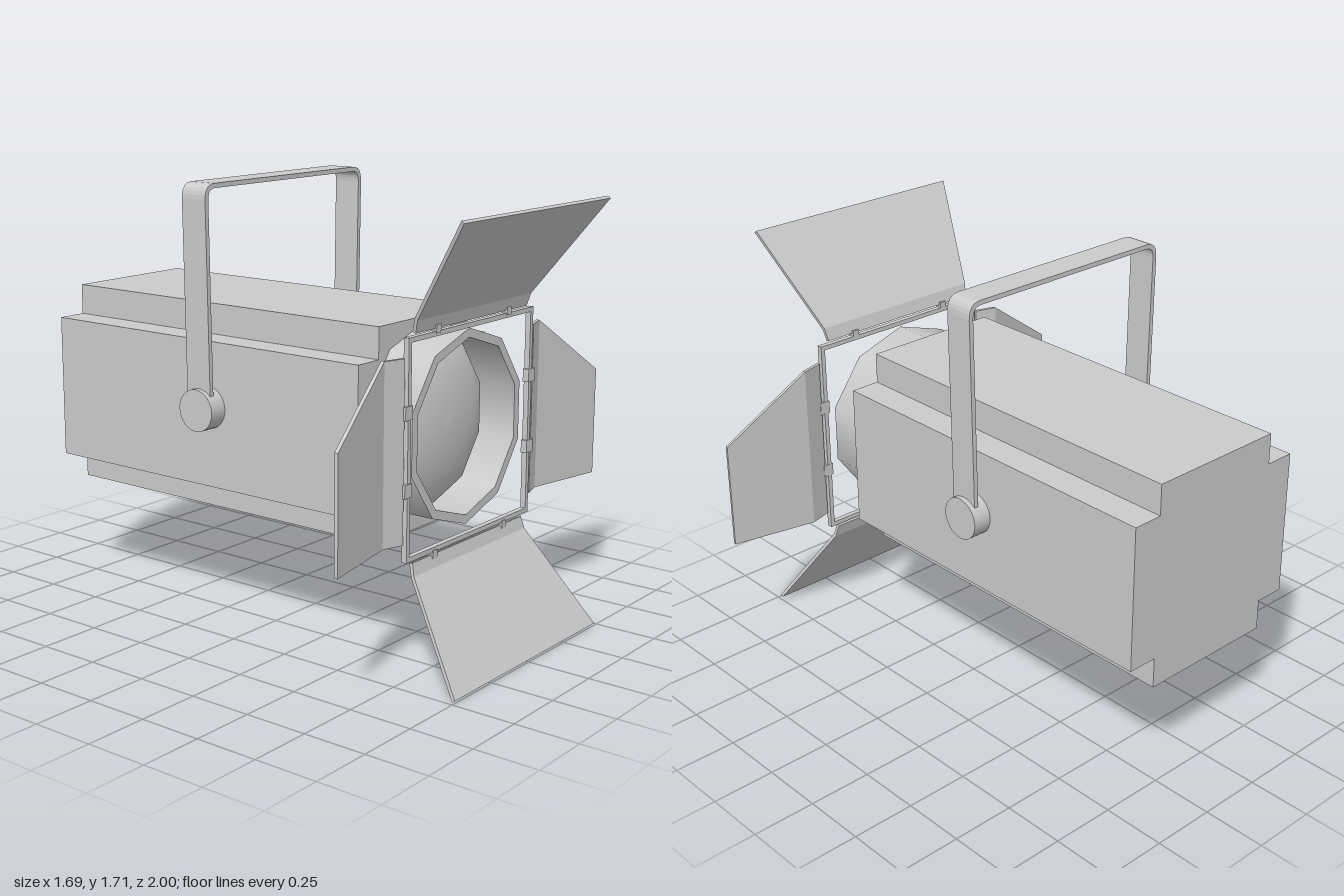
import * as THREE from 'three';

const CY = 0.835; // height of the optical axis
const mat = new THREE.MeshStandardMaterial({ color: 0xcccccc });
const flat = new THREE.MeshStandardMaterial({ color: 0xcccccc, flatShading: true });

function add(parent, name, geo, m = flat) {
  const mesh = new THREE.Mesh(geo, m);
  mesh.name = name;
  parent.add(mesh);
  return mesh;
}

function extrude(shape, z0, z1, curveSegments = 6) {
  const g = new THREE.ExtrudeGeometry(shape, { depth: z1 - z0, bevelEnabled: false, curveSegments });
  return g.translate(0, 0, z0);
}

const polygon = (pts) => new THREE.Shape(pts.map(([x, y]) => new THREE.Vector2(x, y)));
const square = (h) => [[-h, -h], [h, -h], [h, h], [-h, h]];

// Bent sheet lofted along +y; each row is [y, z, left x, right x]
function sheet(rows, t = 0.014) {
  const pos = [], idx = [], last = rows.length - 1;
  rows.forEach(([y, z, lo, hi], i) => {
    const a = rows[Math.max(i - 1, 0)], b = rows[Math.min(i + 1, last)];
    const n = new THREE.Vector2(a[1] - b[1], b[0] - a[0]).setLength(t / 2);
    for (const [x, s] of [[lo, 1], [hi, 1], [hi, -1], [lo, -1]]) pos.push(x, y + s * n.x, z + s * n.y);
  });
  for (let i = 0; i < last; i++) {
    for (let j = 0; j < 4; j++) {
      const a = i * 4 + j, b = i * 4 + (j + 1) % 4;
      idx.push(a, b, b + 4, a, b + 4, a + 4);
    }
  }
  const e = last * 4;
  idx.push(0, 3, 2, 0, 2, 1, e, e + 1, e + 2, e, e + 2, e + 3);
  const g = new THREE.BufferGeometry();
  g.setAttribute('position', new THREE.Float32BufferAttribute(pos, 3));
  g.setIndex(idx);
  const out = g.toNonIndexed();
  out.computeVertexNormals();
  return out;
}

// Door with its two hinges, built pointing up and turned about the optical axis
function barnDoor(name, angle, rows, hingeX, hinge) {
  const door = new THREE.Group();
  door.name = name;
  add(door, 'doorPanel', sheet(rows));
  for (const s of [-1, 1]) {
    const [w, y0, y1] = hinge;
    const h = new THREE.BoxGeometry(w, y1 - y0, 0.026);
    add(door, 'hinge', h.translate(s * hingeX, (y0 + y1) / 2, 0.722));
  }
  door.position.y = CY;
  door.rotation.z = angle;
  return door;
}

export function createModel() {
  const model = new THREE.Group();
  model.name = 'stageLight';

  // Housing: square with notched corners
  const o = 0.405, n = 0.285;
  const body = polygon([[-n, -o], [n, -o], [n, -n], [o, -n], [o, n], [n, n],
    [n, o], [-n, o], [-n, n], [-o, n], [-o, -n], [-n, -n]]);
  add(model, 'housing', extrude(body, -1, 0.515)).position.y = CY - 0.003;

  // Ten-sided lens barrel with a recessed domed lens
  const barrel = new THREE.Group();
  barrel.name = 'lensBarrel';
  const R = 0.37, r = 0.335, front = 0.712, seat = 0.53;
  const dome = [];
  for (let i = 0; i <= 8; i++) {
    const a = (i / 8) * Math.PI / 2;
    dome.push([r * Math.cos(a), seat + 0.11 * Math.sin(a)]);
  }
  dome[8][0] = 0;
  const profiles = {
    barrelOuter: [[R, 0.5], [R, front]],
    barrelRim: [[R, front], [r, front]],
    barrelInner: [[r, front], [r, seat]],
    lens: dome,
  };
  for (const [name, pts] of Object.entries(profiles)) {
    const g = new THREE.LatheGeometry(pts.map(([x, y]) => new THREE.Vector2(x, y)), 10);
    add(barrel, name, g.rotateX(Math.PI / 2), mat);
  }
  barrel.position.y = 0.845;
  model.add(barrel);

  // Square frame that carries the doors
  const frame = polygon(square(0.405));
  frame.holes.push(new THREE.Path(square(0.387).map(([x, y]) => new THREE.Vector2(x, y))));
  add(model, 'doorFrame', extrude(frame, 0.71, 0.732)).position.y = CY;

  // Top and bottom doors
  const wide = [[0.416, 0.722, -0.362, 0.362], [0.465, 0.735, -0.37, 0.37], [0.83, 0.994, -0.483, 0.483]];
  const wideHinge = [0.028, 0.398, 0.428];
  model.add(barnDoor('topDoor', 0, wide, 0.23, wideHinge));
  model.add(barnDoor('bottomDoor', Math.PI, wide, 0.23, wideHinge));

  // Side doors, cut away at their upper outer corners
  const side = [[0.418, 0.72, -0.335, 0.335], [0.505, 0.694, -0.335, 0.335], [0.846, 0.76, -0.095, 0.335]];
  const mirrored = side.map(([y, z, lo, hi]) => [y, z, -hi, -lo]);
  const sideHinge = [0.05, 0.38, 0.424];
  model.add(barnDoor('leftDoor', -Math.PI / 2, side, 0.14, sideHinge));
  model.add(barnDoor('rightDoor', Math.PI / 2, mirrored, 0.14, sideHinge));

  // Hanging yoke: flat strip with rounded upper corners
  const yoke = new THREE.Shape();
  yoke.moveTo(0.458, 0.83);
  yoke.lineTo(0.472, 1.655);
  yoke.quadraticCurveTo(0.472, 1.715, 0.42, 1.715);
  yoke.lineTo(-0.42, 1.715);
  yoke.quadraticCurveTo(-0.472, 1.715, -0.472, 1.655);
  yoke.lineTo(-0.458, 0.83);
  yoke.lineTo(-0.44, 0.83);
  yoke.lineTo(-0.454, 1.655);
  yoke.quadraticCurveTo(-0.454, 1.697, -0.418, 1.697);
  yoke.lineTo(0.418, 1.697);
  yoke.quadraticCurveTo(0.454, 1.697, 0.454, 1.655);
  yoke.lineTo(0.44, 0.83);
  add(model, 'yoke', extrude(yoke, -0.255, -0.14), mat);

  // Pivot knobs
  for (const s of [-1, 1]) {
    const knob = new THREE.CylinderGeometry(0.082, 0.082, 0.08, 32).rotateZ(Math.PI / 2);
    add(model, 'pivotKnob', knob, mat).position.set(s * 0.44, 0.86, -0.197);
  }

  return model;
}
